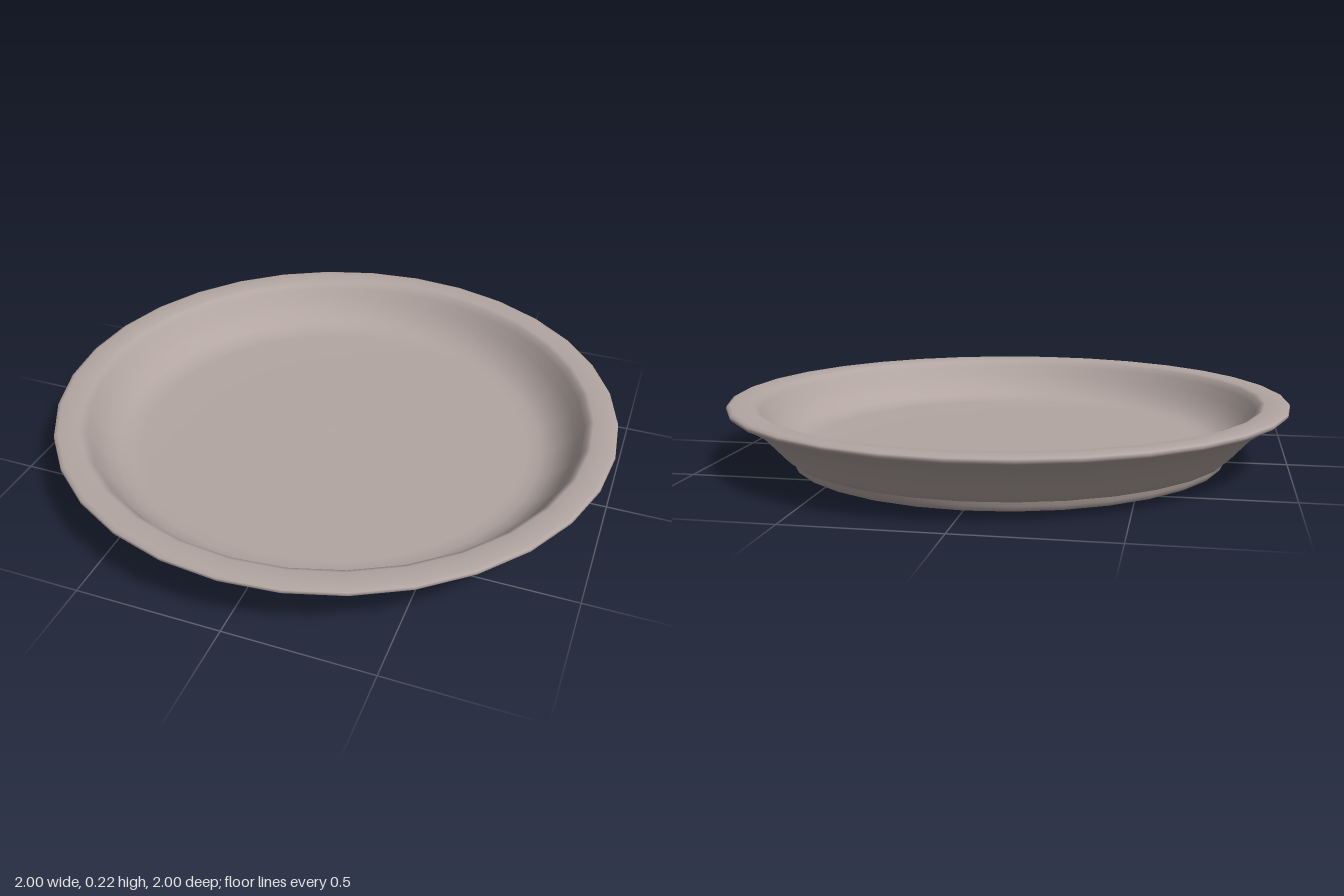
import * as THREE from 'three';

const SEGMENTS = 32;

// Turned surface from [radius, height] points, outside on the right when travelling upward
function turned(name, points, material) {
  const profile = points.map(([r, y]) => new THREE.Vector2(r, y));
  const mesh = new THREE.Mesh(new THREE.LatheGeometry(profile, SEGMENTS), material);
  mesh.name = name;
  return mesh;
}

export function createModel() {
  const group = new THREE.Group();
  group.name = 'plate';
  const ceramic = new THREE.MeshStandardMaterial({ color: 0xb3a6a2 });
  ceramic.name = 'warm grey ceramic';

  // Recessed underside
  group.add(turned('underside', [[0, 0.02], [0.4, 0.02], [0.715, 0.02]], ceramic));

  // Foot ring
  group.add(turned('footRing', [
    [0.715, 0.02], [0.735, 0.016], [0.75, 0.004], [0.765, 0],
    [0.778, 0.005], [0.785, 0.02], [0.79, 0.036],
  ], ceramic));

  // Flared outer wall, rolled lip, inner wall and floor
  group.add(turned('bowl', [
    [0.79, 0.036], [0.803, 0.039], [0.82, 0.056], [0.86, 0.1], [0.9, 0.143],
    [0.94, 0.17], [0.97, 0.189], [0.993, 0.2], [1, 0.208], [0.998, 0.217],
    [0.985, 0.222], [0.95, 0.222], [0.915, 0.22], [0.9, 0.214], [0.885, 0.192],
    [0.86, 0.153], [0.83, 0.115], [0.79, 0.084], [0.75, 0.07], [0.7, 0.065],
    [0.4, 0.065], [0.04, 0.065], [0, 0.064],
  ], ceramic));

  return group;
}
